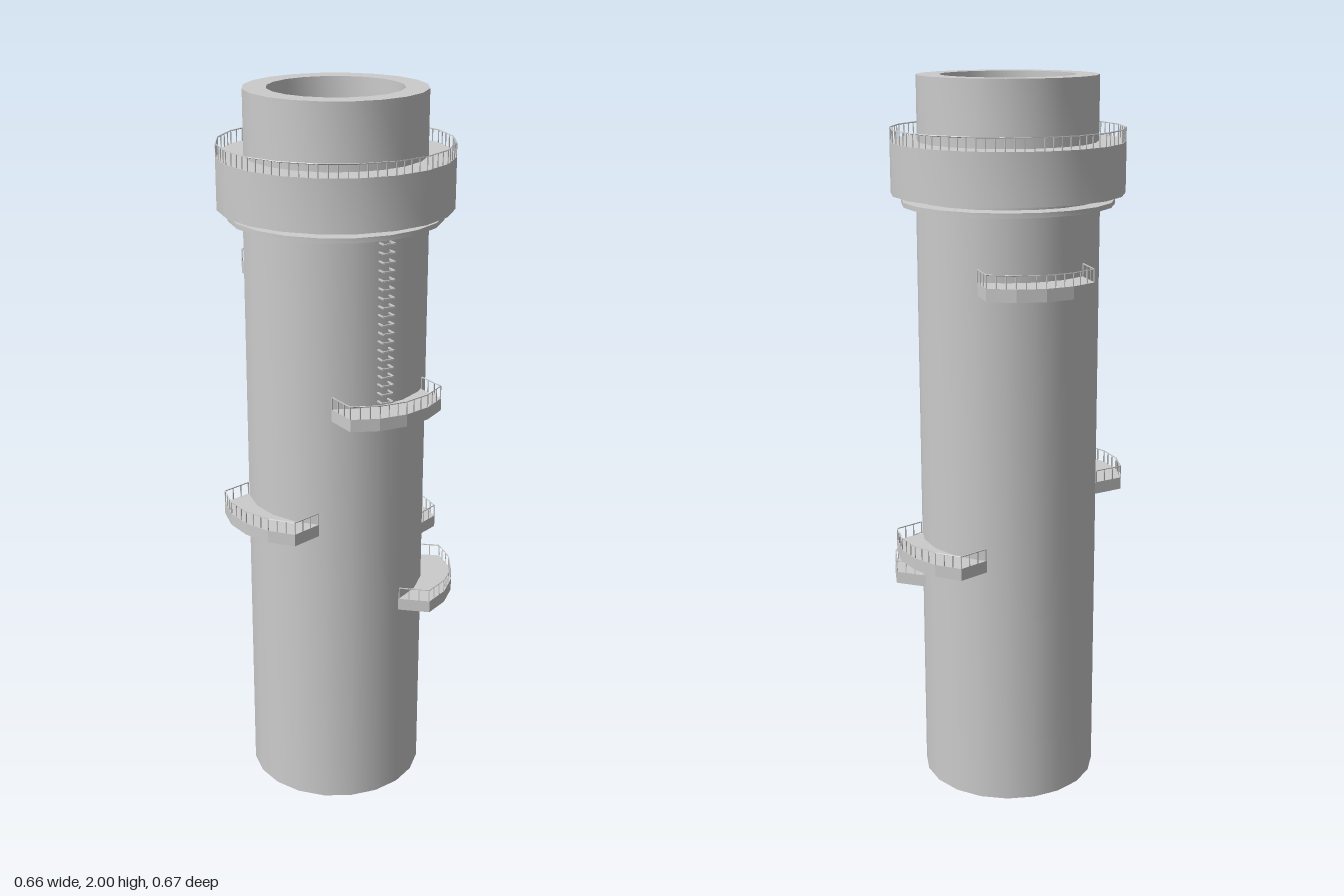
import * as THREE from 'three';
import { mergeGeometries, toCreasedNormals } from 'three/addons/utils/BufferGeometryUtils.js';

const SIDES = 20, STEP = (Math.PI * 2) / SIDES;
const R = 0.247;          // shaft radius
const REACH = 0.089;      // how far a balcony sticks out
const SLAB = 0.034, RAIL_H = 0.034, BAR = 0.0025;

const mat = new THREE.MeshStandardMaterial({ color: 0xcccccc, side: THREE.DoubleSide });
const v3 = (x, y, z) => new THREE.Vector3(x, y, z);

function add(parent, name, geometry) {
  const mesh = new THREE.Mesh(geometry, mat);
  mesh.name = name;
  parent.add(mesh);
  return mesh;
}

// Turned part with smooth sides and sharp edges
function turned(profile) {
  const points = profile.map(([r, y]) => new THREE.Vector2(r, y));
  return toCreasedNormals(new THREE.LatheGeometry(points, SIDES), 0.6);
}

// Square bar between two points
function bar(a, b, t = BAR) {
  const d = b.clone().sub(a);
  const g = new THREE.BoxGeometry(t, d.length(), t);
  g.applyQuaternion(new THREE.Quaternion().setFromUnitVectors(v3(0, 1, 0), d.normalize()));
  const m = a.clone().add(b).multiplyScalar(0.5);
  return g.translate(m.x, m.y, m.z);
}

// Handrail with evenly spaced posts along a path of corner points
function railing(path, spacing) {
  const bars = [], up = v3(0, RAIL_H, 0);
  for (let i = 0; i < path.length - 1; i++) {
    const a = path[i], b = path[i + 1];
    bars.push(bar(a.clone().add(up), b.clone().add(up)));
    const n = Math.max(1, Math.round(a.distanceTo(b) / spacing));
    for (let k = 0; k < n; k++) {
      const p = a.clone().lerp(b, k / n);
      bars.push(bar(p, p.clone().add(up)));
    }
  }
  const end = path[path.length - 1];
  bars.push(bar(end, end.clone().add(up)));
  return mergeGeometries(bars);
}

// Balcony: four sides of the shaft pushed outward, with a railing
function balcony(name, angle, top) {
  const group = new THREE.Group();
  group.name = name;
  const arc = (r, out) => [-2, -1, 0, 1, 2].map(
    (i) => new THREE.Vector2(r * Math.sin(i * STEP), r * Math.cos(i * STEP) + out));
  const outline = [...arc(R, REACH), ...arc(R - 0.003, 0).reverse()];
  const slab = new THREE.ExtrudeGeometry(new THREE.Shape(outline), { depth: SLAB, bevelEnabled: false });
  add(group, 'balconySlab', slab.rotateX(Math.PI / 2));

  const edge = arc(R - 0.002, REACH).map((p) => v3(p.x, 0, p.y));
  const inward = v3(0, 0, -REACH + 0.005);
  const path = [edge[0].clone().add(inward), ...edge, edge[4].clone().add(inward)];
  add(group, 'balconyRailing', railing(path, 0.0255));
  group.rotation.y = angle;
  group.position.y = top;
  return group;
}

export function createModel() {
  const model = new THREE.Group();
  model.name = 'tower';

  // The whole tower leans very slightly
  const tower = new THREE.Group();
  tower.name = 'leaningTower';
  tower.position.set(0, 0, 0.0095);
  tower.rotation.set(-0.0078, 0, -0.0037);
  model.add(tower);

  // Hollow shaft, open at the bottom
  add(tower, 'shaft', turned([[R, 0.002], [R, 1.69]]));

  // Thin collar below the gallery
  add(tower, 'collar', turned([[R, 1.658], [0.287, 1.66], [0.287, 1.673], [R, 1.675]]));

  // Wide gallery ring and the hollow crown above it
  add(tower, 'gallery', turned([[R, 1.69], [0.315, 1.69], [0.315, 1.827], [0.242, 1.827]]));
  add(tower, 'crown', turned([[0.242, 1.827], [0.242, 1.998], [0.18, 1.998], [0.18, 1.827], [0.242, 1.827]]));

  // Gallery railing
  const ring = [];
  for (let i = 0; i <= SIDES; i++) {
    ring.push(v3(0.313 * Math.sin(i * STEP), 1.827, 0.313 * Math.cos(i * STEP)));
  }
  add(tower, 'galleryRailing', railing(ring, 0.0245));

  // Balconies around the shaft
  const balconies = [
    ['backBalcony', Math.PI, 1.489],
    ['frontBalcony', 0.09, 1.208],
    ['rightBalcony', -1.3, 0.874],
    ['leftBalcony', 1.98, 0.725],
    ['frontLeftBalcony', 0.92, 0.612],
  ];
  for (const [name, angle, top] of balconies) tower.add(balcony(name, angle, top));

  // Ladder of staple rungs from the front balcony to the collar
  const rungs = [];
  for (let y = 1.222; y < 1.657; y += 0.0235) {
    const l = v3(-0.016, y, 0.27), r = v3(0.016, y, 0.27);
    rungs.push(bar(l, r, 0.004));
    for (const p of [l, r]) rungs.push(bar(v3(p.x, y, R - 0.004), p, 0.004));
  }
  add(tower, 'ladder', mergeGeometries(rungs)).position.x = 0.009;

  return model;
}
